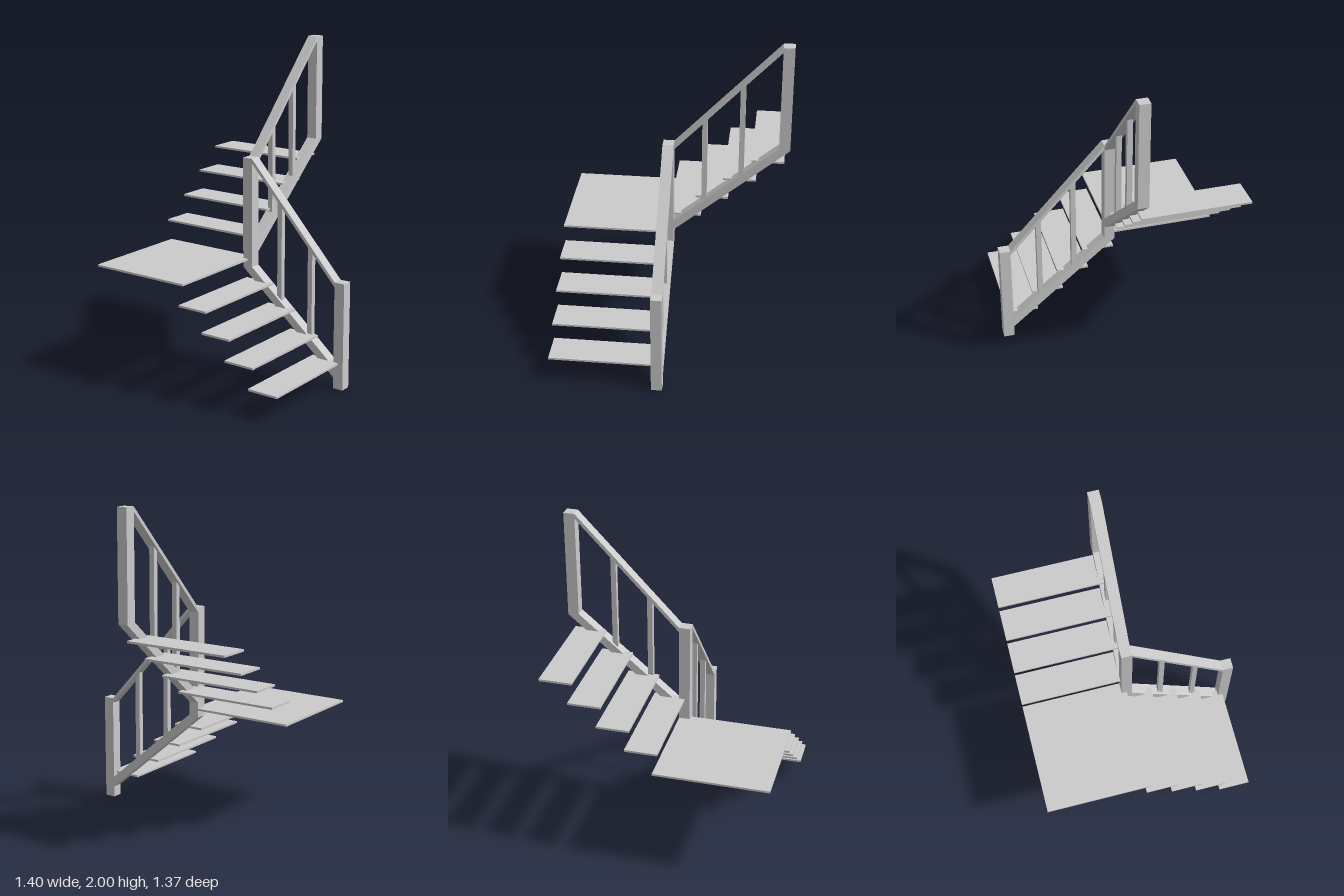
import * as THREE from 'three';

const material = new THREE.MeshStandardMaterial({ color: 0xcccccc, flatShading: true });
const W = 0.067;   // post, rail and stringer width
const RISE = 0.1333;

function mesh(name, geometry) {
  const m = new THREE.Mesh(geometry, material);
  m.name = name;
  return m;
}

// Box given by its minimum and maximum corners
function block(name, [x0, y0, z0], [x1, y1, z1]) {
  const g = new THREE.BoxGeometry(x1 - x0, y1 - y0, z1 - z0);
  g.translate((x0 + x1) / 2, (y0 + y1) / 2, (z0 + z1) / 2);
  return mesh(name, g);
}

// Upright four-sided prism: profile in (run, height), thickness centred on z = 0
function prism(name, u0, u1, bottom, top, thick = W) {
  const shape = new THREE.Shape([
    new THREE.Vector2(u0, bottom(u0)), new THREE.Vector2(u1, bottom(u1)),
    new THREE.Vector2(u1, top(u1)), new THREE.Vector2(u0, top(u0)),
  ]);
  const g = new THREE.ExtrudeGeometry(shape, { depth: thick, bevelEnabled: false });
  g.translate(0, 0, -thick / 2);
  return mesh(name, g);
}

// Side frame of one flight; run 0 is the inner face of its lower post
function balustrade(name, length, base, railBase) {
  const group = new THREE.Group();
  group.name = name;
  const under = (u) => base + 0.858 * u;
  const over = (u) => under(u) + 0.066;
  const railTop = (u) => railBase + (0.6667 / length) * u;
  const railUnder = (u) => railTop(u) - 0.03;
  group.add(prism('stringer', 0, length, under, over));
  group.add(prism('handrail', 0, length, railUnder, railTop));
  // Upper post with its foot cut along the slope
  group.add(prism('post', length, length + W, under, () => railBase + 0.6667));
  for (const u of [0.186, 0.408]) {
    group.add(prism('baluster', u - 0.016, u + 0.016, (v) => over(v) - 0.01, (v) => railUnder(v) + 0.005, 0.033));
  }
  return group;
}

export function createModel() {
  const model = new THREE.Group();
  model.name = 'staircase';

  // Lower flight climbs towards the back, upper flight towards +x
  const lower = balustrade('lowerBalustrade', 0.602, 0.07, 0.6667);
  lower.rotation.y = Math.PI / 2;
  lower.position.set(-W / 2, 0, 0.616);
  const upper = balustrade('upperBalustrade', 0.63, 0.737, 1.3333);
  upper.position.z = -0.0195;
  model.add(lower, upper);
  model.add(block('newelPost', [-W, 0, 0.616], [0, 0.6667, 0.683]));

  // Treads of both flights
  for (let i = 0; i < 4; i++) {
    const y = 0.167 + RISE * i;
    const z = 0.648 - 0.1667 * i;
    model.add(block('lowerTread', [-0.7, y - 0.013, z - 0.2], [-0.033, y, z]));
    const yu = y + RISE * 5;
    const x = -0.033 + 0.1667 * i;
    model.add(block('upperTread', [x, yu + 0.006 - 0.013, -0.683], [x + 0.198, yu + 0.006, -0.02]));
  }

  // Corner landing
  model.add(block('landing', [-0.7, 0.687, -0.683], [0, 0.7, -0.02]));
  return model;
}
